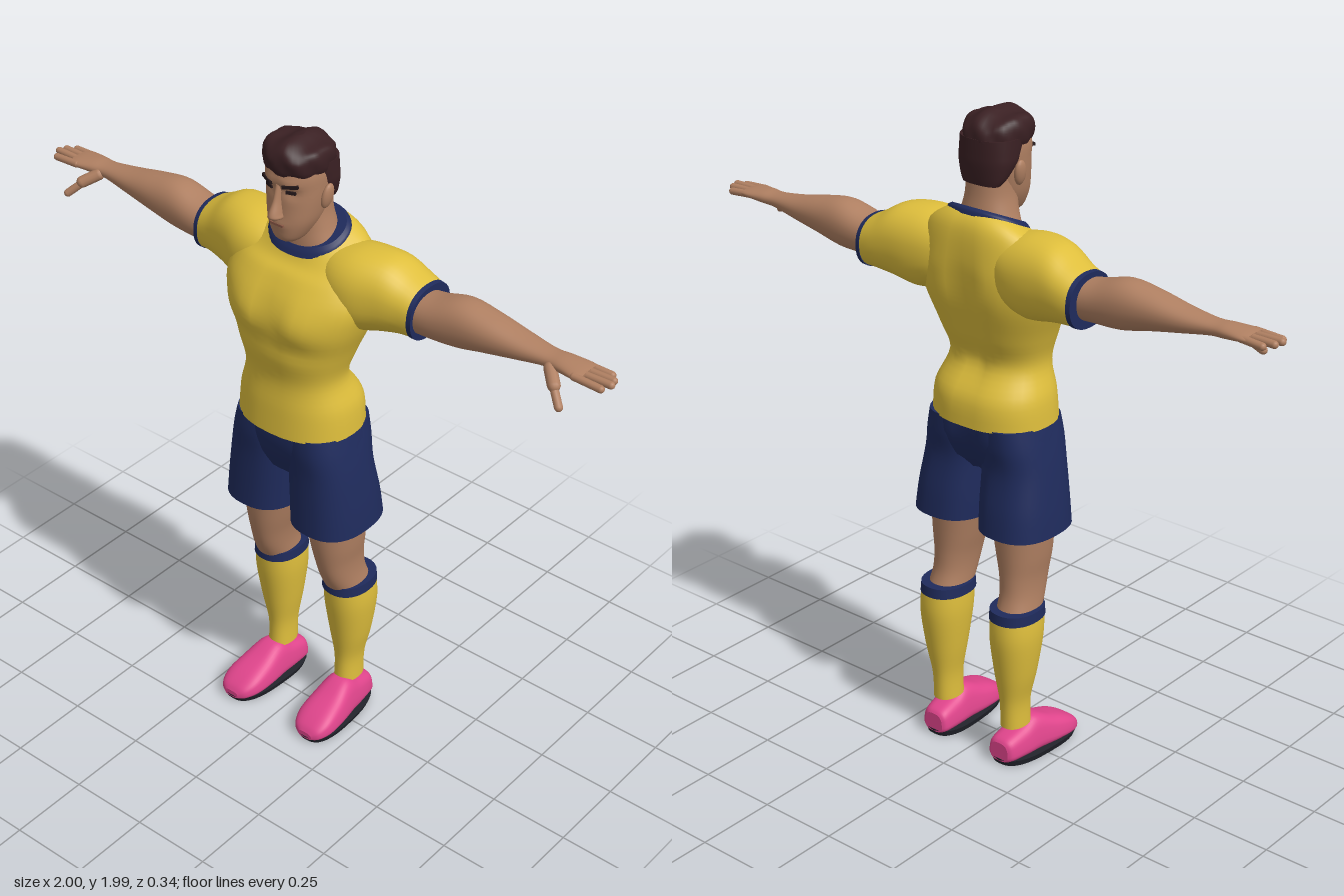
import * as THREE from 'three';

const mat = (name, color) => Object.assign(new THREE.MeshStandardMaterial({ color }), { name });
const M = {
  yellow: mat('yellow cloth', 0xdebe3c),
  navy: mat('navy cloth', 0x1f2b5c),
  skin: mat('skin', 0xb08062),
  hair: mat('hair', 0x3a2023),
  pink: mat('pink shoe', 0xe0458c),
  sole: mat('dark sole', 0x22242c),
  dark: mat('dark features', 0x24181a),
  lip: mat('lips', 0x8c5a48),
};
const SEG = 36, SUB = 5;
const bump = (d, w) => Math.exp(-(d * d) / (w * w));
const smooth = THREE.MathUtils.smoothstep;

const catmull = (a, b, c, d, t) =>
  0.5 * (2 * b + (c - a) * t + (2 * a - 5 * b + 4 * c - d) * t * t + (3 * b - a - 3 * c + d) * t * t * t);

// Loft of superellipses along an axis; each row is [t, a0, a1, b0, b1] (min/max extents).
// (a, b) is (y, z) along x, (z, x) along y and (x, y) along z.
function loft(name, material, axis, rows, { p = 2.2, s = 1, deform } = {}) {
  const rings = [];
  for (let i = 0; i < rows.length - 1; i++) {
    const q = [rows[Math.max(i - 1, 0)], rows[i], rows[i + 1], rows[Math.min(i + 2, rows.length - 1)]];
    for (let k = 0; k < SUB; k++) rings.push(q[1].map((_, c) => catmull(q[0][c], q[1][c], q[2][c], q[3][c], k / SUB)));
  }
  rings.push(rows[rows.length - 1]);
  const pos = [], idx = [];
  const tri = (a, b, c) => (s > 0 ? idx.push(a, b, c) : idx.push(a, c, b));
  const pw = (v) => Math.sign(v) * Math.abs(v) ** (2 / p);
  const point = (t, a, b) => {
    const v = axis === 'x' ? new THREE.Vector3(t, a, b) : axis === 'y' ? new THREE.Vector3(b, t, a) : new THREE.Vector3(a, b, t);
    if (deform) deform(v);
    pos.push(v.x * s, v.y, v.z);
  };
  const ring = ([t, a0, a1, b0, b1]) => {
    for (let j = 0; j < SEG; j++) {
      const w = (j / SEG) * Math.PI * 2;
      point(t, (a0 + a1) / 2 + ((a1 - a0) / 2) * pw(Math.cos(w)), (b0 + b1) / 2 + ((b1 - b0) / 2) * pw(Math.sin(w)));
    }
  };
  rings.forEach(ring);
  for (let i = 0; i < rings.length - 1; i++) for (let j = 0; j < SEG; j++) {
    const a = i * SEG + j, b = i * SEG + ((j + 1) % SEG);
    tri(a, b, a + SEG);
    tri(b, b + SEG, a + SEG);
  }
  // Flat end caps with their own vertices
  [[rings[0], false], [rings[rings.length - 1], true]].forEach(([r, top]) => {
    const base = pos.length / 3;
    ring(r);
    point(r[0], (r[1] + r[2]) / 2, (r[3] + r[4]) / 2);
    for (let j = 0; j < SEG; j++) {
      const a = base + j, b = base + ((j + 1) % SEG);
      top ? tri(a, b, base + SEG) : tri(b, a, base + SEG);
    }
  });
  const g = new THREE.BufferGeometry();
  g.setAttribute('position', new THREE.Float32BufferAttribute(pos, 3));
  g.setIndex(idx);
  g.computeVertexNormals();
  const mesh = new THREE.Mesh(g, material);
  mesh.name = name;
  return mesh;
}
// Symmetric row about x = 0 for vertical lofts
const sym = (rows) => rows.map(([y, z0, z1, x]) => [y, z0, z1, -x, x]);

// Capsule between two points
function limb(name, material, a, b, r) {
  const A = new THREE.Vector3(...a), B = new THREE.Vector3(...b), d = B.clone().sub(A);
  const m = new THREE.Mesh(new THREE.CapsuleGeometry(r, d.length() - 2 * r, 5, 12), material);
  m.name = name;
  m.position.copy(A).add(B).multiplyScalar(0.5);
  m.quaternion.setFromUnitVectors(new THREE.Vector3(0, 1, 0), d.normalize());
  return m;
}
function place(name, geo, material, x, y, z, rx = 0, ry = 0, rz = 0) {
  const m = new THREE.Mesh(geo, material);
  m.name = name;
  m.position.set(x, y, z);
  m.rotation.set(rx, ry, rz);
  return m;
}

// Tilts the neckline forward
const neckTilt = (v) => { v.y -= smooth(v.y, 1.58, 1.69) * 0.45 * (v.z + 0.04); };
// Chest, belly and back muscles
function torsoShape(v) {
  const x = Math.abs(v.x);
  if (v.z > 0) {
    v.z += 0.012 * bump(x - 0.09, 0.06) * bump(v.y - 1.48, 0.06) - 0.012 * bump(x, 0.02) * bump(v.y - 1.48, 0.1);
    v.z -= 0.008 * bump(v.y - 1.39, 0.03) * bump(x - 0.08, 0.09);
  } else {
    v.z += 0.022 * bump(x, 0.03) * bump(v.y - 1.4, 0.2) - 0.008 * bump(x - 0.1, 0.05) * bump(v.y - 1.52, 0.08);
  }
  neckTilt(v);
}

function buildHead() {
  const g = new THREE.Group();
  g.name = 'head';
  g.add(loft('neck', M.skin, 'y', sym([[1.6, -0.11, 0.04, 0.11], [1.66, -0.108, 0.042, 0.1], [1.71, -0.1, 0.042, 0.083], [1.76, -0.092, 0.045, 0.072], [1.82, -0.088, 0.04, 0.07]])));
  g.add(loft('face', M.skin, 'y', sym([
    [1.688, 0.01, 0.08, 0.028], [1.705, -0.02, 0.096, 0.046], [1.75, -0.05, 0.102, 0.069], [1.8, -0.07, 0.1, 0.08],
    [1.85, -0.085, 0.099, 0.085], [1.9, -0.088, 0.1, 0.085], [1.95, -0.07, 0.08, 0.07], [1.97, -0.03, 0.04, 0.03]]), {
    p: 2.3,
    deform: (v) => {
      if (v.z < 0.03) return;
      const x = Math.abs(v.x);
      v.z -= 0.008 * bump(x - 0.036, 0.02) * bump(v.y - 1.85, 0.015);
      v.z += 0.006 * bump(x - 0.03, 0.03) * bump(v.y - 1.877, 0.012) + 0.005 * bump(x, 0.025) * bump(v.y - 1.752, 0.014);
    },
  }));
  g.add(loft('nose', M.skin, 'y', sym([[1.766, 0.08, 0.104, 0.012], [1.776, 0.08, 0.132, 0.02], [1.79, 0.08, 0.134, 0.017], [1.825, 0.08, 0.117, 0.011], [1.87, 0.08, 0.104, 0.009]]), { p: 2 }));
  // Wavy hair: crown with swept front, and a lower part behind the ears
  const wave = (v) => {
    const a = Math.atan2(v.x, v.z), k = 1 + 0.025 * Math.sin(a * 9 + v.y * 60);
    v.x *= k;
    v.z *= k;
    v.y += 0.006 * Math.sin(v.x * 70 + 1) * smooth(v.y, 1.93, 1.96);
  };
  g.add(loft('hairCrown', M.hair, 'y', sym([[1.898, -0.094, 0.1, 0.086], [1.915, -0.096, 0.106, 0.091], [1.945, -0.09, 0.108, 0.092], [1.967, -0.07, 0.096, 0.078], [1.98, -0.04, 0.07, 0.05], [1.984, -0.01, 0.03, 0.015]]), { deform: wave }));
  g.add(loft('hairBack', M.hair, 'y', sym([[1.79, -0.09, -0.04, 0.062], [1.81, -0.093, -0.015, 0.075], [1.85, -0.097, 0.022, 0.088], [1.88, -0.097, 0.04, 0.09], [1.92, -0.096, 0.06, 0.09]]), { p: 2.4 }));
  for (const s of [1, -1]) {
    const ear = place('ear', new THREE.SphereGeometry(1, 16, 12), M.skin, s * 0.087, 1.822, -0.004, -0.15, 0, -s * 0.15);
    ear.scale.set(0.013, 0.038, 0.022);
    g.add(ear);
    g.add(place('eyebrow', new THREE.BoxGeometry(0.046, 0.009, 0.009), M.dark, s * 0.04, 1.873, 0.096, 0, s * 0.4, s * 0.12));
    g.add(place('eye', new THREE.BoxGeometry(0.028, 0.009, 0.009), M.dark, s * 0.037, 1.852, 0.088, 0, s * 0.35, 0));
  }
  g.add(place('mouth', new THREE.BoxGeometry(0.046, 0.007, 0.009), M.lip, 0, 1.75, 0.103));
  return g;
}

function buildArm(s) {
  const g = new THREE.Group();
  g.name = s > 0 ? 'leftArm' : 'rightArm';
  g.add(loft('sleeve', M.yellow, 'x', [[0.06, 1.5, 1.655, -0.13, 0.02], [0.13, 1.46, 1.672, -0.155, 0.06], [0.2, 1.44, 1.682, -0.165, 0.065], [0.28, 1.455, 1.675, -0.167, 0.04], [0.34, 1.465, 1.642, -0.167, 0.022], [0.385, 1.467, 1.62, -0.163, 0.014]], { s, p: 2.3 }));
  g.add(loft('sleeveTrim', M.navy, 'x', [[0.377, 1.464, 1.624, -0.166, 0.016], [0.391, 1.464, 1.622, -0.164, 0.015]], { s, p: 2.3 }));
  g.add(loft('arm', M.skin, 'x', [
    [0.34, 1.485, 1.6, -0.135, 0.0], [0.42, 1.487, 1.61, -0.135, 0.005], [0.51, 1.49, 1.633, -0.135, 0.001], [0.6, 1.51, 1.622, -0.128, -0.005],
    [0.7, 1.53, 1.602, -0.116, -0.018], [0.79, 1.546, 1.59, -0.101, -0.03], [0.84, 1.55, 1.59, -0.104, -0.024], [0.89, 1.556, 1.586, -0.108, -0.014], [0.915, 1.56, 1.582, -0.106, -0.016]], { s }));
  // Four fingers and a thumb
  [[-0.098, 0.972, 1.566], [-0.074, 0.993, 1.57], [-0.05, 1.0, 1.572], [-0.025, 0.985, 1.566]].forEach(([z, x, y]) =>
    g.add(limb('finger', M.skin, [s * 0.88, 1.571, z * 0.95], [s * x, y, z], 0.011)));
  g.add(limb('thumb', M.skin, [s * 0.8, 1.567, -0.045], [s * 0.86, 1.528, 0.01], 0.018));
  g.add(limb('thumbTip', M.skin, [s * 0.838, 1.542, -0.008], [s * 0.892, 1.49, 0.032], 0.012));
  return g;
}

function buildLeg(s) {
  const g = new THREE.Group();
  g.name = s > 0 ? 'leftLeg' : 'rightLeg';
  g.add(loft('shortsLeg', M.navy, 'y', [[0.76, -0.157, 0.125, 0.004, 0.24], [0.84, -0.148, 0.123, 0.002, 0.232], [0.95, -0.13, 0.122, 0, 0.216], [1.03, -0.137, 0.127, 0, 0.2], [1.09, -0.14, 0.125, 0, 0.185]], { s, p: 2.5 }));
  g.add(loft('leg', M.skin, 'y', [[0.49, -0.135, 0.015, 0.073, 0.195], [0.55, -0.115, 0.043, 0.073, 0.187], [0.61, -0.11, 0.06, 0.066, 0.187], [0.68, -0.112, 0.072, 0.05, 0.196], [0.78, -0.117, 0.08, 0.03, 0.204]], { s }));
  g.add(loft('sock', M.yellow, 'y', [[0.115, -0.122, -0.018, 0.095, 0.172], [0.2, -0.126, -0.02, 0.094, 0.173], [0.3, -0.142, -0.005, 0.078, 0.194], [0.42, -0.157, 0.014, 0.064, 0.209], [0.5, -0.152, 0.02, 0.064, 0.206]], { s }));
  g.add(loft('sockBand', M.navy, 'y', [[0.484, -0.157, 0.024, 0.06, 0.209], [0.515, -0.154, 0.022, 0.062, 0.207]], { s }));
  // Shoe narrows toward the top and turns out a little
  const turn = (v) => { v.x += 0.06 * v.z; };
  const taper = (v) => { v.x = 0.14 + (v.x - 0.14) * (1 - 3.2 * Math.max(v.y - 0.03, 0)); turn(v); };
  g.add(loft('shoe', M.pink, 'z', [
    [-0.146, 0.105, 0.175, 0.012, 0.074], [-0.13, 0.09, 0.19, 0.01, 0.088], [-0.07, 0.08, 0.2, 0.01, 0.108], [-0.02, 0.074, 0.206, 0.01, 0.13],
    [0.05, 0.069, 0.211, 0.01, 0.102], [0.11, 0.072, 0.208, 0.01, 0.078], [0.15, 0.09, 0.19, 0.01, 0.054], [0.166, 0.115, 0.165, 0.012, 0.035]], { s, p: 3, deform: taper }));
  g.add(loft('sole', M.sole, 'y', [[0, -0.142, 0.16, 0.074, 0.206], [0.02, -0.148, 0.168, 0.067, 0.213]], { s, p: 2.7, deform: turn }));
  return g;
}

export function createModel() {
  const model = new THREE.Group();
  model.name = 'footballer';
  model.add(buildHead());
  model.add(loft('shirt', M.yellow, 'y', sym([
    [1.085, -0.155, 0.147, 0.19], [1.17, -0.146, 0.14, 0.183], [1.26, -0.093, 0.131, 0.157], [1.35, -0.122, 0.148, 0.18], [1.45, -0.152, 0.158, 0.22],
    [1.53, -0.16, 0.136, 0.238], [1.6, -0.16, 0.092, 0.215], [1.65, -0.148, 0.065, 0.178], [1.69, -0.116, 0.046, 0.118]]), { p: 2.35, deform: torsoShape }));
  model.add(loft('collar', M.navy, 'y', sym([[1.676, -0.127, 0.057, 0.128], [1.69, -0.122, 0.051, 0.124], [1.7, -0.112, 0.043, 0.112]]), { deform: neckTilt }));
  model.add(loft('shortsHips', M.navy, 'y', sym([[0.93, -0.1, 0.095, 0.17], [0.98, -0.125, 0.115, 0.205], [1.04, -0.143, 0.128, 0.198], [1.1, -0.148, 0.13, 0.184]]), {
    p: 2.5,
    deform: (v) => { if (v.z < 0) v.z += 0.02 * bump(v.x, 0.025); },
  }));
  for (const s of [1, -1]) model.add(buildArm(s), buildLeg(s));
  return model;
}
